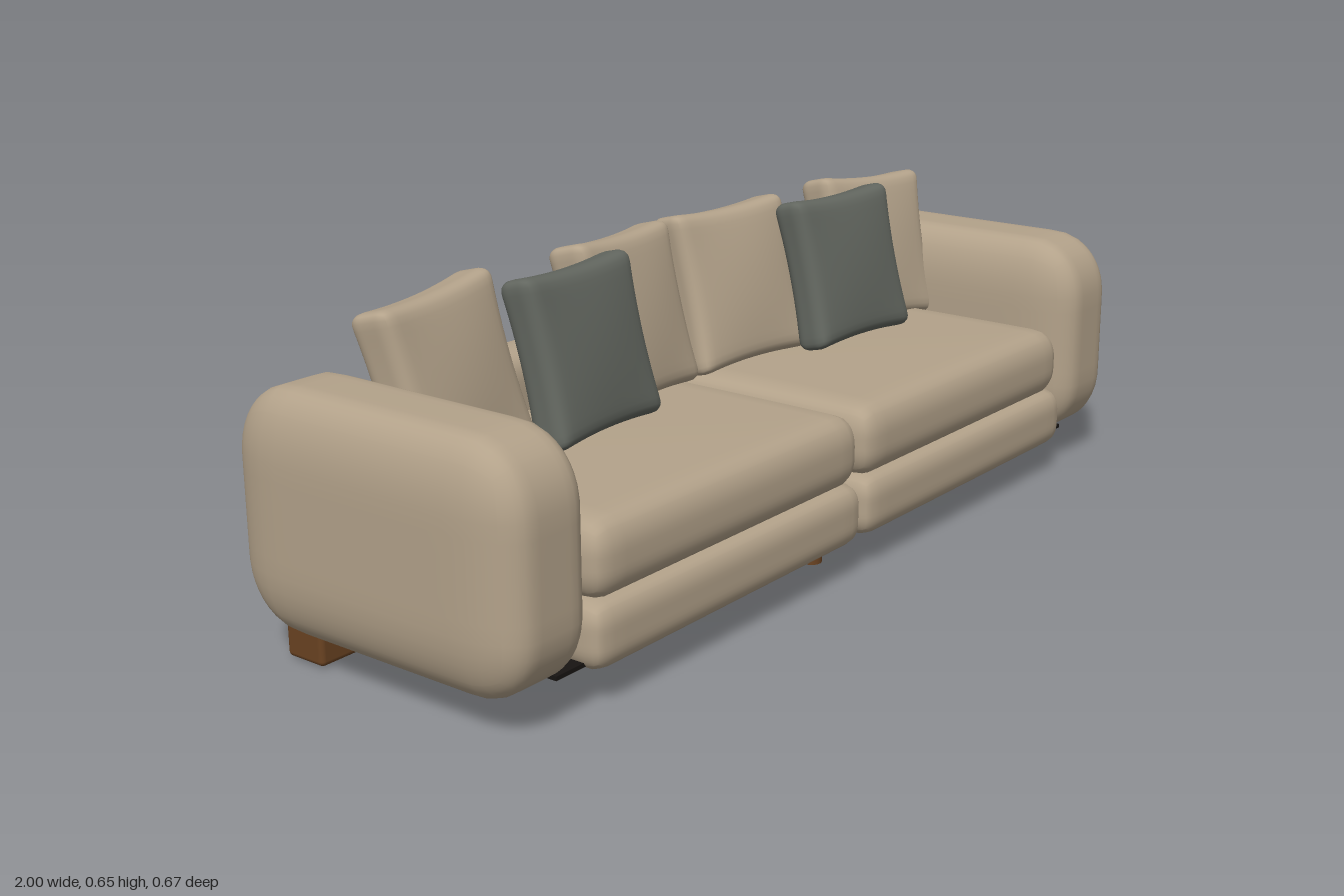
import * as THREE from 'three';
import { mergeVertices } from 'three/addons/utils/BufferGeometryUtils.js';
import { RoundedBoxGeometry } from 'three/addons/geometries/RoundedBoxGeometry.js';

const material = (name, color) => {
  const m = new THREE.MeshStandardMaterial({ color });
  m.name = name;
  return m;
};

// Padded box with its own rounding radius on each axis; shape() may bend it further.
function softBox(size, radius, shape) {
  const n = 20;
  const box = new THREE.BoxGeometry(2, 2, 2, n, n, n);
  box.deleteAttribute('uv');
  box.deleteAttribute('normal');
  const geo = mergeVertices(box, 1e-4);
  const pos = geo.attributes.position;
  const p = new THREE.Vector3(), core = new THREE.Vector3(), q = new THREE.Vector3();
  const half = new THREE.Vector3(...size).multiplyScalar(0.5);
  const r = new THREE.Vector3(...radius);
  const inner = half.clone().sub(r);
  for (let i = 0; i < pos.count; i++) {
    p.fromBufferAttribute(pos, i);
    // crowd the grid towards the edges, where the rounding is
    p.set(...p.toArray().map(t => Math.sin(t * Math.PI / 2))).multiply(half);
    core.copy(p).clamp(inner.clone().negate(), inner);
    q.copy(p).sub(core).divide(r).normalize().multiply(r);
    p.copy(core).add(q);
    if (shape) shape(p, half);
    pos.setXYZ(i, p.x, p.y, p.z);
  }
  geo.computeVertexNormals();
  return geo;
}

// Pillow: pulled-out corners, sides curving in, fuller in the middle.
function pillowGeometry(w, h, d) {
  return softBox([w, h, d], [0.025, 0.025, 0.035], (p, half) => {
    const u = p.x / half.x, v = p.y / half.y;
    p.x *= 1 - 0.06 * (1 - v * v);
    p.y *= 1 - 0.06 * (1 - u * u);
    p.z *= 0.74 + 0.26 * (1 - u * u) * (1 - v * v) + 0.1 * u * u * v * v;
  });
}

export function createModel() {
  const fabric = material('beige fabric', 0xb3a28a);
  const greyFabric = material('grey fabric', 0x62665f);
  const wood = material('brown wood', 0x6a4322);
  const lining = material('dark lining', 0x171412);
  const sofa = new THREE.Group();
  sofa.name = 'sofa';

  const add = (name, geo, mat, x, y, z) => {
    const mesh = new THREE.Mesh(geo, mat);
    mesh.name = name;
    mesh.position.set(x, y, z);
    sofa.add(mesh);
    return mesh;
  };

  // Shared geometries
  const arm = softBox([0.22, 0.447, 0.665], [0.065, 0.13, 0.12]);
  const base = softBox([0.785, 0.125, 0.6], [0.035, 0.045, 0.035]);
  const seat = softBox([0.775, 0.145, 0.56], [0.045, 0.06, 0.045], (p, half) => {
    // slight crown on the seat
    if (p.y > 0) p.y += 0.006 * (1 - (p.x / half.x) ** 2) * (1 - (p.z / half.z) ** 2);
  });
  const back = softBox([0.81, 0.375, 0.12], [0.04, 0.05, 0.05]);
  const beigePillow = pillowGeometry(0.32, 0.335, 0.115);
  const greyPillow = pillowGeometry(0.315, 0.32, 0.1);
  const block = new RoundedBoxGeometry(0.125, 0.115, 0.092, 3, 0.01);

  for (const s of [1, -1]) {
    const side = s > 0 ? 'left' : 'right';
    add(side + 'Arm', arm, fabric, s * 0.89, 0.2885, 0);
    add(side + 'Base', base, fabric, s * 0.397, 0.132, 0.029);
    add(side + 'SeatCushion', seat, fabric, s * 0.393, 0.259, 0.043);
    add(side + 'Backrest', back, fabric, s * 0.41, 0.257, -0.267);
    add(side + 'BlockLeg', block, wood, s * 0.874, 0.0605, -0.226);

    // Loose pillows lean back and turn a little towards the middle
    const pillow = (name, geo, mat, x, y, z, yaw, roll) => {
      const mesh = add(side + name, geo, mat, s * x, y, z);
      mesh.rotation.set(-0.25, -s * yaw, s * roll, 'YXZ');
    };
    pillow('InnerPillow', beigePillow, fabric, 0.17, 0.486, -0.128, 0.13, 0.02);
    pillow('OuterPillow', beigePillow, fabric, 0.67, 0.476, -0.118, 0.13, -0.06);
    pillow('GreyPillow', greyPillow, greyFabric, 0.42, 0.494, -0.018, 0.07, 0);
  }

  // Middle legs
  const peg = new THREE.CylinderGeometry(0.021, 0.021, 0.1, 24);
  add('frontMiddleLeg', peg, wood, 0, 0.05, 0.2);
  add('backMiddleLeg', peg, wood, 0, 0.05, -0.193);

  // Dark lining under the gaps between base and arms
  add('underLining', new THREE.BoxGeometry(1.7, 0.008, 0.5), lining, 0, 0.084, 0.04);

  return sofa;
}
